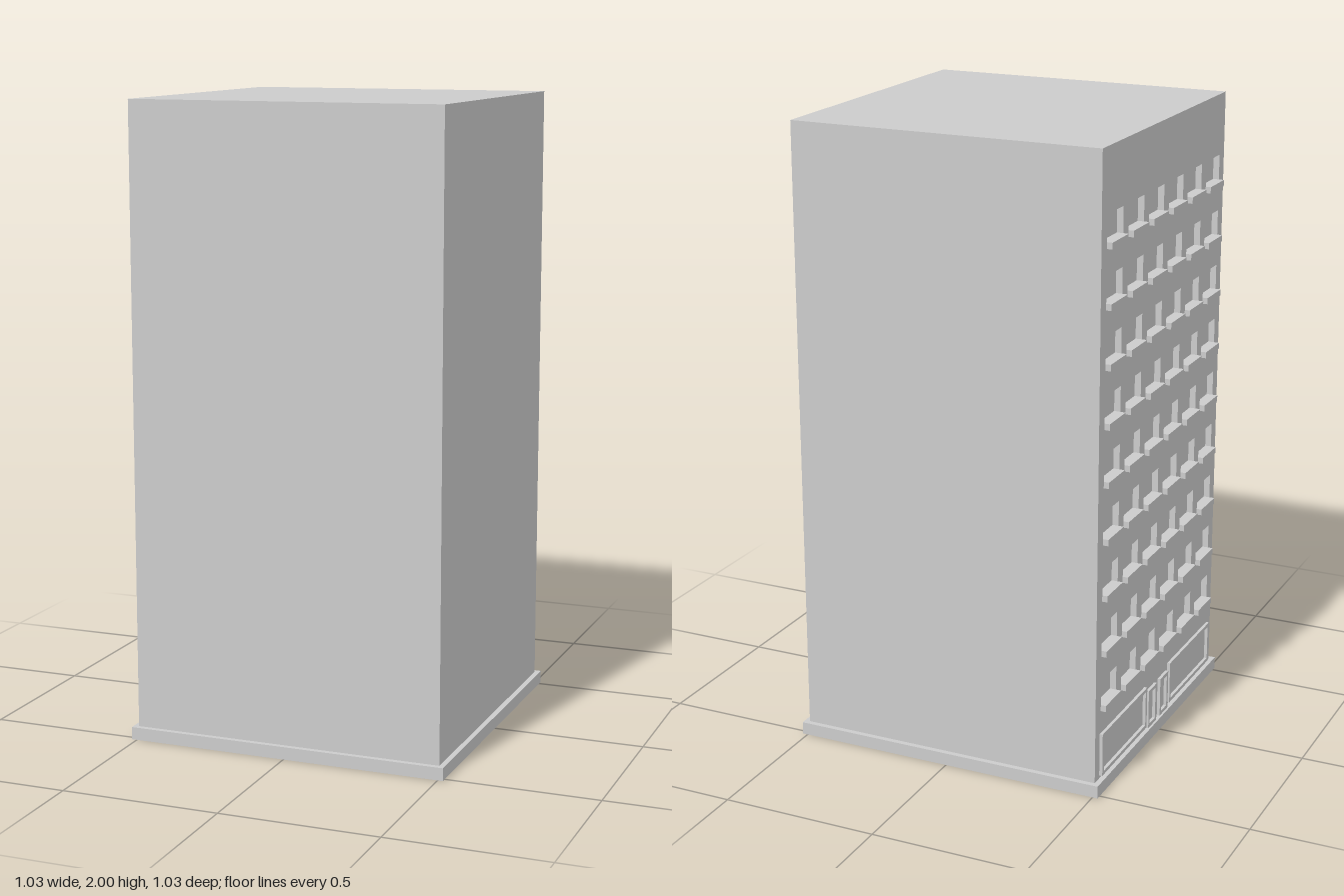
import * as THREE from 'three';

const material = new THREE.MeshStandardMaterial({ color: 0xcccccc, flatShading: true });

function rect(target, z0, z1, y0, y1) {
  target.moveTo(z0, y0);
  target.lineTo(z1, y0);
  target.lineTo(z1, y1);
  target.lineTo(z0, y1);
  target.closePath();
  return target;
}

export function createModel() {
  const group = new THREE.Group();

  function box(name, x0, x1, y0, y1, z0, z1) {
    const mesh = new THREE.Mesh(new THREE.BoxGeometry(x1 - x0, y1 - y0, z1 - z0), material);
    mesh.position.set((x0 + x1) / 2, (y0 + y1) / 2, (z0 + z1) / 2);
    mesh.name = name;
    group.add(mesh);
  }

  // Slab drawn in (z, y), growing outward along -x from the plane x
  function panel(name, shape, x, depth) {
    const geometry = new THREE.ExtrudeGeometry(shape, { depth, bevelEnabled: false });
    geometry.rotateY(-Math.PI / 2);
    const mesh = new THREE.Mesh(geometry, material);
    mesh.position.x = x;
    mesh.name = name;
    group.add(mesh);
  }

  const wall = -0.5, recess = 0.02;

  // Plinth and tower core; the core's -x side forms the window panes
  box('plinth', -0.517, 0.517, 0, 0.04, -0.517, 0.517);
  box('tower', wall + recess, 0.5, 0.04, 2, -0.5, 0.5);

  // Facade with window openings, and a sill under each
  const facade = rect(new THREE.Shape(), -0.5, 0.5, 0.04, 2);
  for (let row = 0; row < 9; row++) {
    const y = 0.275 + row * 0.18;
    for (let col = 0; col < 6; col++) {
      const z = -0.4 + col * 0.16;
      facade.holes.push(rect(new THREE.Path(), z - 0.06, z + 0.06, y - 0.01, y + 0.09));
      box('windowSill', wall - 0.017, wall + recess, y - 0.01, y + 0.01, z - 0.06, z + 0.06);
    }
  }
  panel('facade', facade, wall + recess, recess);

  // Raised frames of the shop windows and doors
  function frame(name, z0, z1, y0, y1, bar, foot) {
    const shape = rect(new THREE.Shape(), z0, z1, y0, y1);
    shape.holes.push(rect(new THREE.Path(), z0 + bar, z1 - bar, y0 + foot, y1 - bar));
    panel(name, shape, wall, 0.01);
  }
  frame('shopWindowFrame', -0.465, -0.1, 0.05, 0.19, 0.012, 0.012);
  frame('shopWindowFrame', 0.1, 0.465, 0.05, 0.19, 0.012, 0.012);
  frame('doorFrame', -0.085, -0.015, 0.04, 0.17, 0.012, 0.012);
  frame('doorFrame', 0.015, 0.085, 0.04, 0.17, 0.012, 0.012);

  return group;
}
